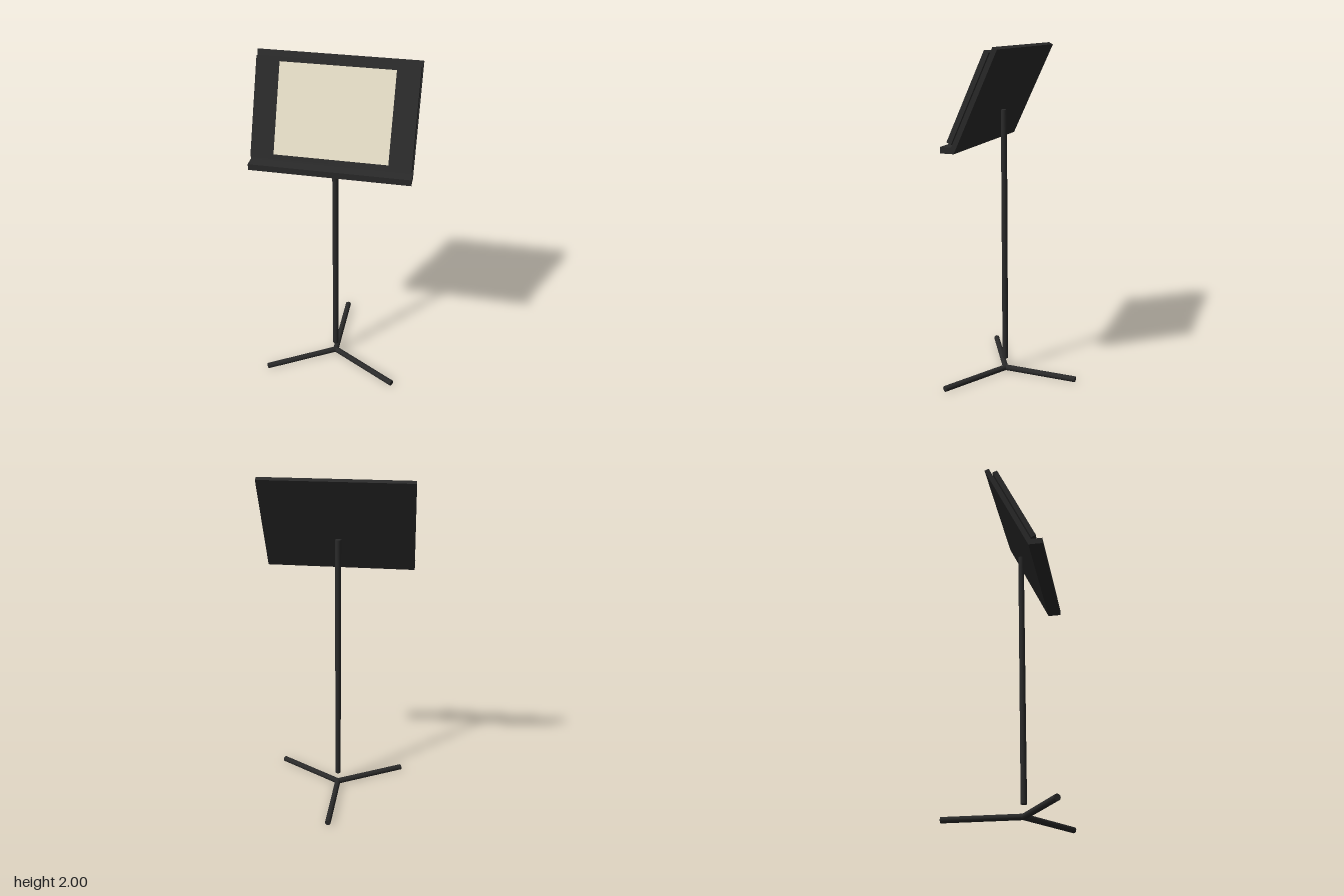
import * as THREE from 'three';

export function createModel() {
  const model = new THREE.Group();
  model.name = 'musicStand';

  const black = new THREE.MeshStandardMaterial({ color: 0x2a2a2a });
  black.name = 'black metal';
  const cream = new THREE.MeshStandardMaterial({ color: 0xe8e0c8 });
  cream.name = 'cream paper';

  const add = (parent, name, geometry, material, x, y, z) => {
    const mesh = new THREE.Mesh(geometry, material);
    mesh.name = name;
    mesh.position.set(x, y, z);
    parent.add(mesh);
    return mesh;
  };

  const radius = 0.0175;
  const poleZ = 0.107;

  // Three legs lying on the floor, meeting under the pole
  const legLength = 0.457;
  const legGeometry = new THREE.CylinderGeometry(radius, radius, legLength, 12)
    .rotateX(Math.PI / 2)
    .translate(0, 0, -legLength / 2);
  ['backLeg', 'leftLeg', 'rightLeg'].forEach((name, i) => {
    const leg = add(model, name, legGeometry, black, 0, radius, poleZ);
    leg.rotation.y = -i * Math.PI * 2 / 3;
  });

  // Upright pole, floating just above the legs
  add(model, 'pole', new THREE.CylinderGeometry(radius, radius, 1.55, 16), black, 0, 0.86, 0.109);

  // Desk leaning back; its origin is the lower back edge
  const desk = new THREE.Group();
  desk.name = 'desk';
  desk.position.set(0, 1.44, 0.22);
  desk.rotation.x = -THREE.MathUtils.degToRad(25);
  model.add(desk);
  const width = 0.875;
  add(desk, 'backPlate', new THREE.BoxGeometry(width, 0.606, 0.028), black, 0, 0.303, 0.014);

  // Book covers opening slightly forward from the centre
  const coverWidth = 0.418;
  for (const side of [1, -1]) {
    const geometry = new THREE.BoxGeometry(coverWidth, 0.534, 0.03)
      .translate(side * coverWidth / 2, 0, -0.015);
    const cover = add(desk, side > 0 ? 'leftCover' : 'rightCover', geometry, black,
      side * 0.015, 0.304, 0.031);
    cover.rotation.y = -side * 0.083;
  }

  // Flat sheet resting between the covers
  add(desk, 'sheet', new THREE.BoxGeometry(0.615, 0.487, 0.008), cream, 0, 0.304, 0.054);

  // Level ledge along the bottom of the desk
  add(model, 'ledge', new THREE.BoxGeometry(width, 0.035, 0.08), black, 0, 1.4575, 0.26);

  return model;
}
